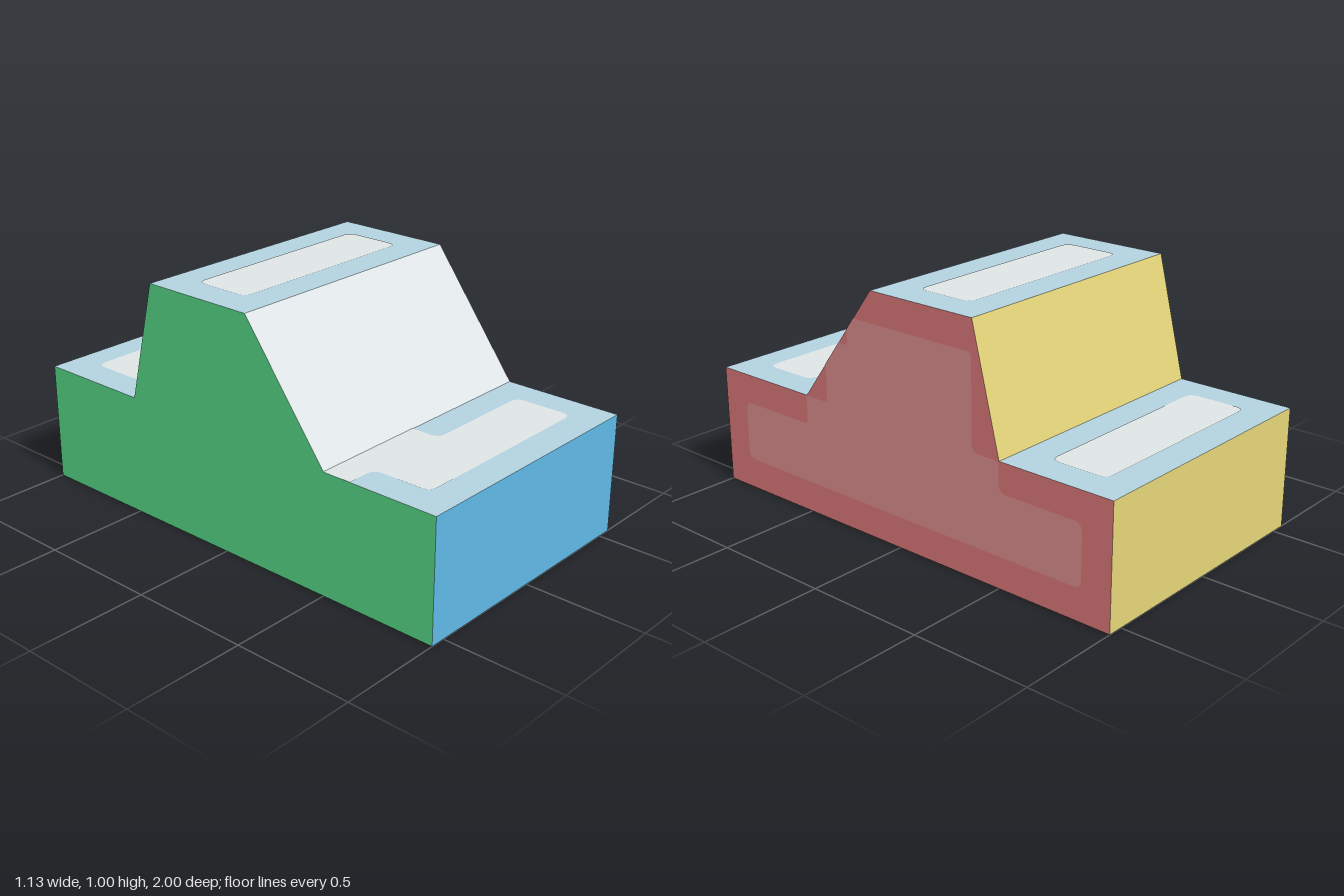
import * as THREE from 'three';

const W = 0.5625; // half width
const LIFT = 0.002; // height of painted panels above the body

// Side outline as [z, y], from front bottom over the cabin to back bottom
const PROFILE = [[1, 0], [1, 0.5], [0.5, 0.5], [0.125, 1], [-0.375, 1], [-0.5, 0.5], [-1, 0.5], [-1, 0]];

const paint = (name, color) => {
  const m = new THREE.MeshStandardMaterial({ color });
  m.name = name;
  return m;
};

// Closed shape whose corners are rounded by r, or by a point's own third value
function roundedShape(points, r = 0) {
  const shape = new THREE.Shape();
  points.forEach(([x, y, own = r], i) => {
    const p = new THREE.Vector2(x, y);
    const toward = (q) => new THREE.Vector2(q[0], q[1]).sub(p).setLength(own).add(p);
    const a = toward(points.at(i - 1));
    const b = toward(points[(i + 1) % points.length]);
    if (i === 0) shape.moveTo(a.x, a.y);
    else shape.lineTo(a.x, a.y);
    if (own > 0) shape.quadraticCurveTo(x, y, b.x, b.y);
  });
  shape.closePath();
  return new THREE.ShapeGeometry(shape, 4);
}

// Flat strip across the full width between two profile points
function strip([z0, y0], [z1, y1]) {
  const g = new THREE.PlaneGeometry(2 * W, Math.hypot(z1 - z0, y1 - y0));
  g.rotateX(-Math.atan2(z0 - z1, y1 - y0));
  return g.translate(0, (y0 + y1) / 2, (z0 + z1) / 2);
}

// Side face from a [z, y] outline, facing outward at the given x
function sideFace(points, x, r) {
  const s = Math.sign(x);
  return roundedShape(points.map(([z, y, own]) => [-s * z, y, own]), r)
    .rotateY(s * Math.PI / 2).translate(x, 0, 0);
}

export function createModel() {
  const group = new THREE.Group();
  const grey = paint('light grey', 0xe0e5e7);
  const blue = paint('blue', 0x60bbe9);
  const paleBlue = paint('pale blue', 0xb4d3e1);
  const yellow = paint('yellow', 0xe6d77a);
  const red = paint('red', 0xe67e7e);
  const paleRed = paint('pale red', 0xe79595);
  const green = paint('green', 0x5be28d);
  const slate = paint('slate', 0x687184);

  const add = (name, geometry, material) => {
    const mesh = new THREE.Mesh(geometry, material);
    mesh.name = name;
    group.add(mesh);
  };

  // Body skin, one strip per profile edge
  const skin = [
    ['frontPanel', blue], ['hood', paleBlue], ['windshield', grey], ['roof', paleBlue],
    ['rearWindow', yellow], ['trunkLid', paleBlue], ['backPanel', yellow], ['underside', slate],
  ];
  skin.forEach(([name, material], i) =>
    add(name, strip(PROFILE[i], PROFILE[(i + 1) % PROFILE.length]), material));

  // Side walls
  add('redSide', sideFace(PROFILE, W), red);
  add('greenSide', sideFace(PROFILE, -W), green);

  // Stepped panel on the red side, cut off by the windshield slope
  const inset = [
    [0.875, 0.13], [0.875, 0.38], [0.5, 0.38, 0.015], [0.5, 0.5, 0], [0.38, 0.5, 0.015], [0.38, 0.66, 0],
    [0.305, 0.76, 0], [0.255, 0.76, 0.015], [0.255, 0.827, 0], [0.219, 0.875, 0],
    [-0.373, 0.875, 0.02], [-0.373, 0.5], [-0.5, 0.5, 0.02], [-0.5, 0.38], [-0.873, 0.38], [-0.873, 0.13],
  ];
  add('redSideInset', sideFace(inset, W + LIFT, 0.035), paleRed);

  // Panels on the upward faces, outlined as [x, z]
  const topPanel = (name, y, points) =>
    add(name, roundedShape(points.map(([x, z, r]) => [x, -z, r]), 0.04)
      .rotateX(-Math.PI / 2).translate(0, y + LIFT, 0), grey);
  const L = -0.434, R = 0.434;
  const rect = (z0, z1) => [[L, z0], [R, z0], [R, z1], [L, z1]];
  topPanel('trunkInset', 0.5, rect(-0.875, -0.627));
  topPanel('roofInset', 1, rect(-0.25, 0));
  topPanel('hoodInset', 0.5, [
    [-W, 0.5, 0], [-0.065, 0.5, 0], [-0.065, 0.623], [R, 0.623], [R, 0.873],
    [L, 0.873], [L, 0.623], [-W, 0.623, 0],
  ]);

  return group;
}
